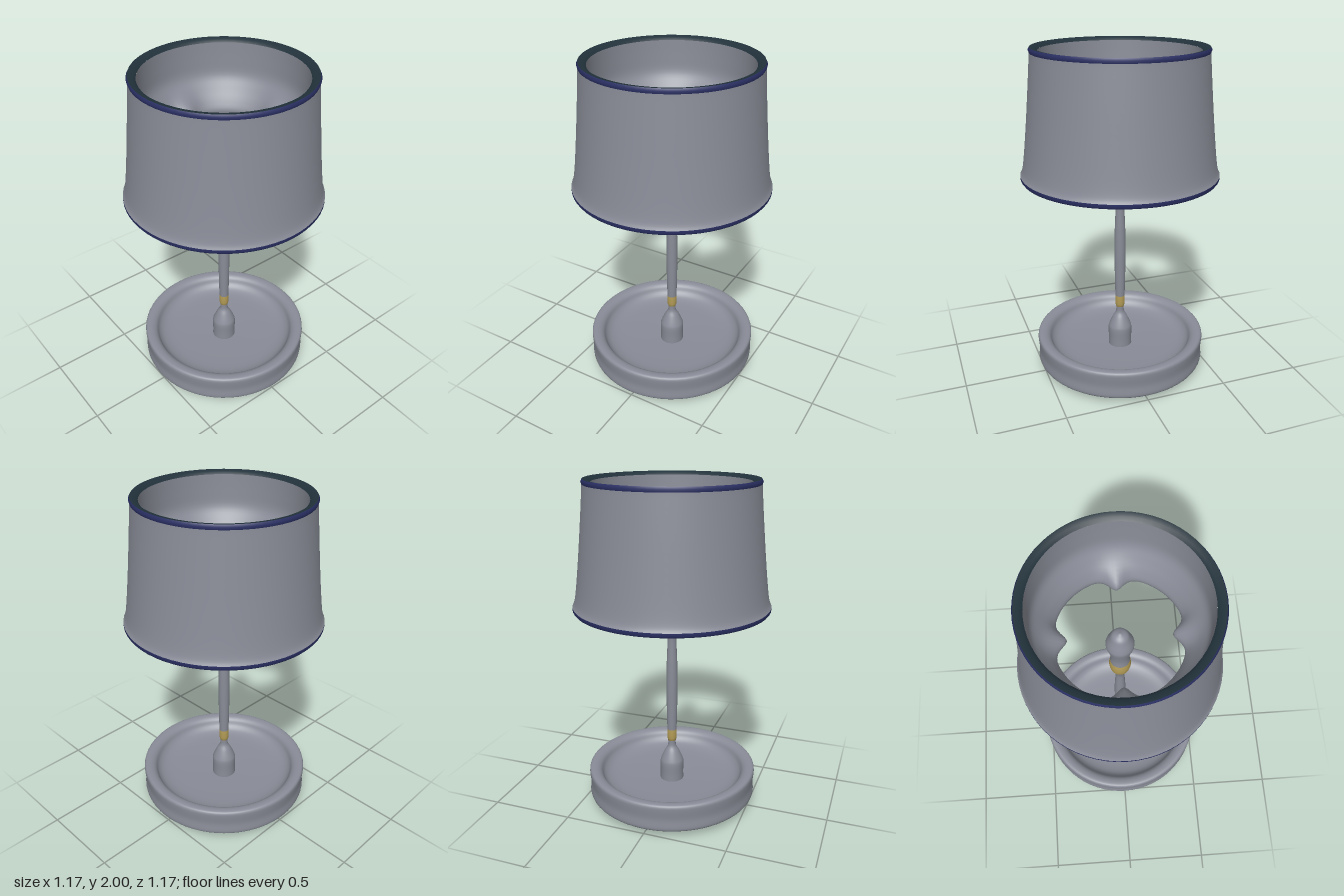
import * as THREE from 'three';
import { mergeVertices } from 'three/addons/utils/BufferGeometryUtils.js';

const mat = (name, color) => {
  const m = new THREE.MeshStandardMaterial({ color });
  m.name = name;
  return m;
};

// Lathe from [radius, y] pairs; smooth runs a spline through them, warp scales the radius by angle
function turned(name, material, pts, { smooth = true, warp = null, segments = 64 } = {}) {
  let profile = pts.map(([r, y]) => new THREE.Vector2(r, y));
  if (smooth && profile.length > 2) {
    profile = new THREE.SplineCurve(profile).getPoints((pts.length - 1) * 4);
    profile.forEach((p) => { p.x = Math.max(p.x, 0); });
  }
  let geo = new THREE.LatheGeometry(profile, segments);
  if (warp) {
    const pos = geo.attributes.position;
    for (let i = 0; i < pos.count; i++) {
      const x = pos.getX(i), y = pos.getY(i), z = pos.getZ(i);
      const k = warp(Math.atan2(z, x), y, Math.hypot(x, z));
      pos.setXYZ(i, x * k, y, z * k);
    }
    geo.deleteAttribute('uv');
    geo.deleteAttribute('normal');
    geo = mergeVertices(geo, 1e-4);
    geo.computeVertexNormals();
  }
  const mesh = new THREE.Mesh(geo, material);
  mesh.name = name;
  return mesh;
}

export function createModel() {
  const grey = mat('grey', 0x898c97);
  const navy = mat('navy trim', 0x2b3166);
  const teal = mat('dark teal rim', 0x22323b);
  const brass = mat('brass', 0xb29b56);
  const model = new THREE.Group();
  model.name = 'tableLamp';

  // Base: a shallow dish with a rounded rim
  const base = new THREE.Group();
  base.name = 'base';
  base.add(turned('dish', grey, [
    [0.47, 0.037], [0.505, 0.042], [0.524, 0.06], [0.52, 0.12], [0.525, 0.18], [0.524, 0.207],
    [0.51, 0.219], [0.478, 0.217], [0.452, 0.2], [0.432, 0.165], [0.39, 0.137], [0.3, 0.122], [0.05, 0.112],
  ]));
  // Underside: squarish foot lip around a shallow hollow with a central boss
  base.add(turned('underside', grey, [
    [0, 0.048], [0.04, 0.052], [0.075, 0.064], [0.11, 0.077], [0.2, 0.08], [0.285, 0.076], [0.298, 0.055],
    [0.303, 0.01], [0.313, 0.002], [0.328, 0.008], [0.343, 0.03], [0.4, 0.038], [0.47, 0.037],
  ], {
    warp: (a, y, r) => 1 + 0.05 * Math.cos(4 * a)
      * THREE.MathUtils.smoothstep(r, 0.12, 0.28) * (1 - THREE.MathUtils.smoothstep(r, 0.33, 0.46)),
  }));
  model.add(base);

  // Stem, from the foot collar up to the bulb
  const stem = new THREE.Group();
  stem.name = 'stem';
  const opt = { segments: 32 };
  stem.add(
    turned('footCollar', grey, [
      [0.074, 0.1], [0.073, 0.16], [0.074, 0.225], [0.067, 0.255], [0.045, 0.305], [0.026, 0.34], [0.024, 0.377],
    ], opt),
    turned('lowerBand', brass, [[0.024, 0.377], [0.029, 0.395], [0.03, 0.43], [0.029, 0.454]], opt),
    turned('shaft', grey, [
      [0.029, 0.454], [0.032, 0.56], [0.034, 0.72], [0.033, 0.88], [0.028, 1.02],
      [0.03, 1.09], [0.044, 1.15], [0.055, 1.185],
    ], opt),
    turned('upperBand', brass, [[0.055, 1.185], [0.062, 1.23], [0.061, 1.27], [0.056, 1.3]], opt),
    turned('bulb', grey, [
      [0.056, 1.3], [0.053, 1.36], [0.062, 1.43], [0.077, 1.51], [0.074, 1.545],
      [0.058, 1.59], [0.04, 1.63], [0, 1.65],
    ], opt),
  );
  model.add(stem);

  // Shade: outer wall, trims, rims and the pinched inner wall
  const shade = new THREE.Group();
  shade.name = 'shade';
  shade.add(
    turned('outerWall', grey, [
      [0.584, 1.277], [0.571, 1.31], [0.557, 1.4], [0.537, 1.58], [0.518, 1.78], [0.505, 1.93], [0.502, 1.972],
    ]),
    turned('bottomTrim', navy, [[0.577, 1.25], [0.584, 1.26], [0.584, 1.277]], { smooth: false }),
    turned('topTrim', navy, [[0.502, 1.972], [0.507, 1.987], [0.5, 2]], { smooth: false }),
    turned('topRim', teal, [[0.5, 2], [0.472, 1.995], [0.456, 1.98]], { smooth: false }),
    turned('bottomRim', teal, [[0.553, 1.266], [0.56, 1.252], [0.577, 1.25]], { smooth: false }),
  );
  // Four inward fitter lugs at the waist of the inner wall
  const lugs = (a, y) => {
    const off = a - Math.round(a / (Math.PI / 2)) * (Math.PI / 2);
    const level = Math.exp(-(((y - 1.6) / 0.08) ** 2));
    return 1 - 0.21 * level * Math.exp(-((off / 0.17) ** 2));
  };
  shade.add(turned('innerWall', grey, [
    [0.456, 1.98], [0.453, 1.88], [0.445, 1.79], [0.41, 1.72], [0.37, 1.65], [0.35, 1.59],
    [0.385, 1.53], [0.435, 1.47], [0.49, 1.39], [0.532, 1.32], [0.553, 1.266],
  ], { warp: lugs, segments: 96 }));
  // Small brass fixing under the front lug
  const fixing = new THREE.Mesh(new THREE.SphereGeometry(0.026, 16, 10), brass);
  fixing.name = 'lugFixing';
  fixing.position.set(0, 1.51, 0.378);
  shade.add(fixing);
  model.add(shade);

  return model;
}
